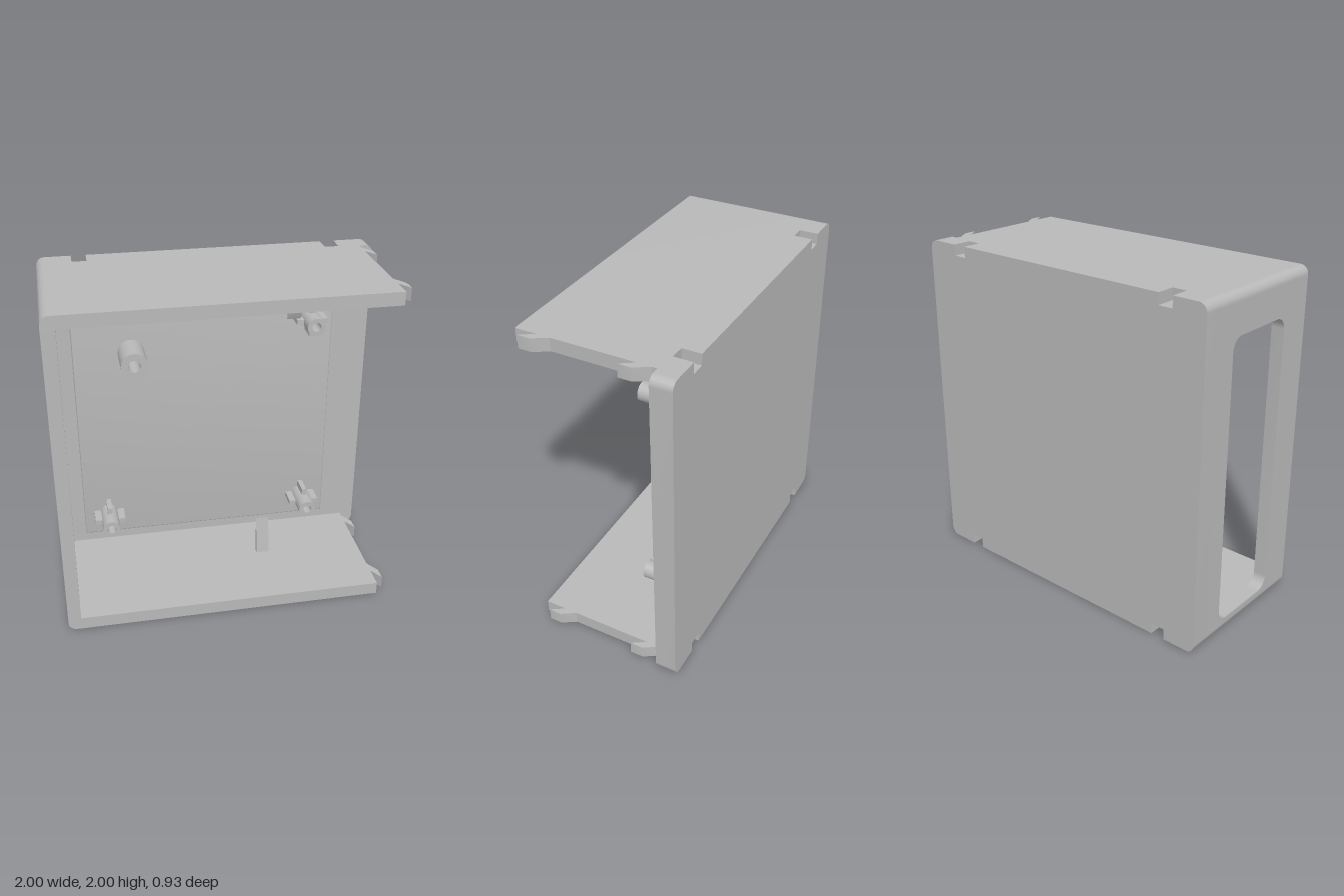
import * as THREE from 'three';
import { toCreasedNormals } from 'three/addons/utils/BufferGeometryUtils.js';

const BACK = -0.463, FRONT = 0.463;   // depth limits of the case
const PLATE = -0.338;                 // inner face of the back plate
const PAD = -0.278;                   // front face of the raised pad
const WALL = 0.077, R = 0.05;         // wall thickness, outer corner radius
const OPEN = 0.915;                   // open end of the roof and floor

const grey = new THREE.MeshStandardMaterial({ color: 0xb8b8b8 });
grey.name = 'grey plastic';

function poly(points) {
  return new THREE.Shape(points.map(([x, y]) => new THREE.Vector2(x, y)));
}

function roundRect(path, x0, y0, x1, y1, r) {
  path.moveTo(x0 + r, y0);
  path.lineTo(x1 - r, y0);
  path.absarc(x1 - r, y0 + r, r, -Math.PI / 2, 0);
  path.lineTo(x1, y1 - r);
  path.absarc(x1 - r, y1 - r, r, 0, Math.PI / 2);
  path.lineTo(x0 + r, y1);
  path.absarc(x0 + r, y1 - r, r, Math.PI / 2, Math.PI);
  path.lineTo(x0, y0 + r);
  path.absarc(x0 + r, y0 + r, r, Math.PI, Math.PI * 1.5);
  return path;
}

// Extrude a shape from a to b along an axis.
// z: shape is (x, y); y: shape is (x, -z); x: shape is (-z, y).
function prism(name, shape, a, b, axis = 'z') {
  let geo = new THREE.ExtrudeGeometry(shape, { depth: b - a, bevelEnabled: false, curveSegments: 16 });
  geo.translate(0, 0, a);
  if (axis === 'y') geo.rotateX(-Math.PI / 2);
  if (axis === 'x') geo.rotateY(Math.PI / 2);
  geo = toCreasedNormals(geo, 0.6);
  const mesh = new THREE.Mesh(geo, grey);
  mesh.name = name;
  return mesh;
}

function box(name, w, h, d, x, y, z) {
  const mesh = new THREE.Mesh(new THREE.BoxGeometry(w, h, d), grey);
  mesh.name = name;
  mesh.position.set(x, y, z);
  return mesh;
}

// Back outline with slots cut into the top and bottom edges
function notchedOutline() {
  const d = 0.065, slots = [[-0.797, -0.711], [0.706, 0.79]];
  const s = new THREE.Shape();
  s.moveTo(-1 + R, 0);
  for (const [a, b] of slots) {
    s.lineTo(a, 0); s.lineTo(a, d); s.lineTo(b, d); s.lineTo(b, 0);
  }
  s.lineTo(1 - R, 0);
  s.absarc(1 - R, R, R, -Math.PI / 2, 0);
  s.lineTo(1, 2 - R);
  s.absarc(1 - R, 2 - R, R, 0, Math.PI / 2);
  for (const [a, b] of [...slots].reverse()) {
    s.lineTo(b, 2); s.lineTo(b, 2 - d); s.lineTo(a, 2 - d); s.lineTo(a, 2);
  }
  s.lineTo(-1 + R, 2);
  s.absarc(-1 + R, 2 - R, R, Math.PI / 2, Math.PI);
  s.lineTo(-1, R);
  s.absarc(-1 + R, R, R, Math.PI, Math.PI * 1.5);
  return s;
}

// Roof or floor strip with one rounded outer corner
function stripShape(top) {
  const s = new THREE.Shape();
  if (top) {
    s.moveTo(-1, 2 - WALL);
    s.lineTo(OPEN, 2 - WALL);
    s.lineTo(OPEN, 2);
    s.lineTo(-1 + R, 2);
    s.absarc(-1 + R, 2 - R, R, Math.PI / 2, Math.PI);
  } else {
    s.moveTo(-1 + R, 0);
    s.lineTo(OPEN, 0);
    s.lineTo(OPEN, WALL);
    s.lineTo(-1, WALL);
    s.lineTo(-1, R);
    s.absarc(-1 + R, R, R, Math.PI, Math.PI * 1.5);
  }
  return s;
}

// Hollow round post standing on the pad
function tube(name, x, y, outer, inner) {
  const s = new THREE.Shape();
  s.absarc(0, 0, outer, 0, Math.PI * 2);
  const hole = new THREE.Path();
  hole.absarc(0, 0, inner, 0, Math.PI * 2, true);
  s.holes.push(hole);
  const mesh = prism(name, s, PAD, -0.066);
  mesh.position.set(x, y, 0);
  return mesh;
}

export function createModel() {
  const model = new THREE.Group();
  model.name = 'enclosure';

  // Back plate: slotted rear layer and plain inner layer
  model.add(prism('backPlate', notchedOutline(), BACK, -0.352));
  model.add(prism('backPlateInner', roundRect(new THREE.Shape(), -1, 0, 1, 2, R), -0.352, PLATE));

  // Roof and floor with their snap hooks
  for (const top of [true, false]) {
    model.add(prism(top ? 'roof' : 'floor', stripShape(top), PLATE, FRONT));
    const y = top ? 2 - WALL : 0;
    for (const z of [-0.308, 0.256]) {
      const hook = poly([[OPEN, -z], [0.965, -z - 0.08], [0.965, -z - 0.157], [OPEN, -z - 0.08]]);
      model.add(prism('snapHook', hook, y, y + WALL, 'y'));
    }
  }

  // Side wall with a rounded window
  const side = poly([[-FRONT, WALL], [-PLATE, WALL], [-PLATE, 2 - WALL], [-FRONT, 2 - WALL]]);
  side.holes.push(roundRect(new THREE.Path(), -0.255, 0.08, 0.224, 1.766, 0.075));
  model.add(prism('sideWall', side, -1, -1 + WALL, 'x'));

  // Raised pad with softened edges
  const bevel = 0.01;
  const padGeo = new THREE.ExtrudeGeometry(
    poly([[-0.83, 0.178], [0.745, 0.178], [0.745, 1.755], [-0.83, 1.755]]),
    { depth: 0.06, bevelSize: bevel, bevelThickness: bevel, bevelSegments: 3 });
  padGeo.translate(0, 0, PAD - 0.06 - bevel);
  const pad = new THREE.Mesh(toCreasedNormals(padGeo, 0.6), grey);
  pad.name = 'raisedPad';
  model.add(pad);

  // Ribbed screw posts
  for (const [x, y] of [[0.597, 1.605], [0.597, 0.323], [-0.682, 0.323]]) {
    const post = new THREE.Group();
    post.name = 'screwPost';
    post.add(tube('postTube', x, y, 0.055, 0.028));
    const depth = 0.117, z = PAD + depth / 2;
    for (const s of [-1, 1]) {
      post.add(box('rib', 0.047, 0.03, depth, x + s * 0.0715, y, z));
      post.add(box('rib', 0.03, 0.047, depth, x, y + s * 0.0715, z));
    }
    model.add(post);
  }

  // Plain boss
  model.add(tube('boss', -0.49, 1.443, 0.08, 0.037));

  // Wedge-shaped retaining clips on the roof and floor
  model.add(prism('roofClip',
    poly([[-0.013, 1.93], [-0.013, 1.775], [0.03, 1.687], [0.03, 1.93]]), 0.404, 0.486, 'x'));
  model.add(prism('floorClip',
    poly([[-0.013, 0.07], [0.03, 0.07], [0.03, 0.32]]), 0.245, 0.325, 'x'));

  return model;
}
